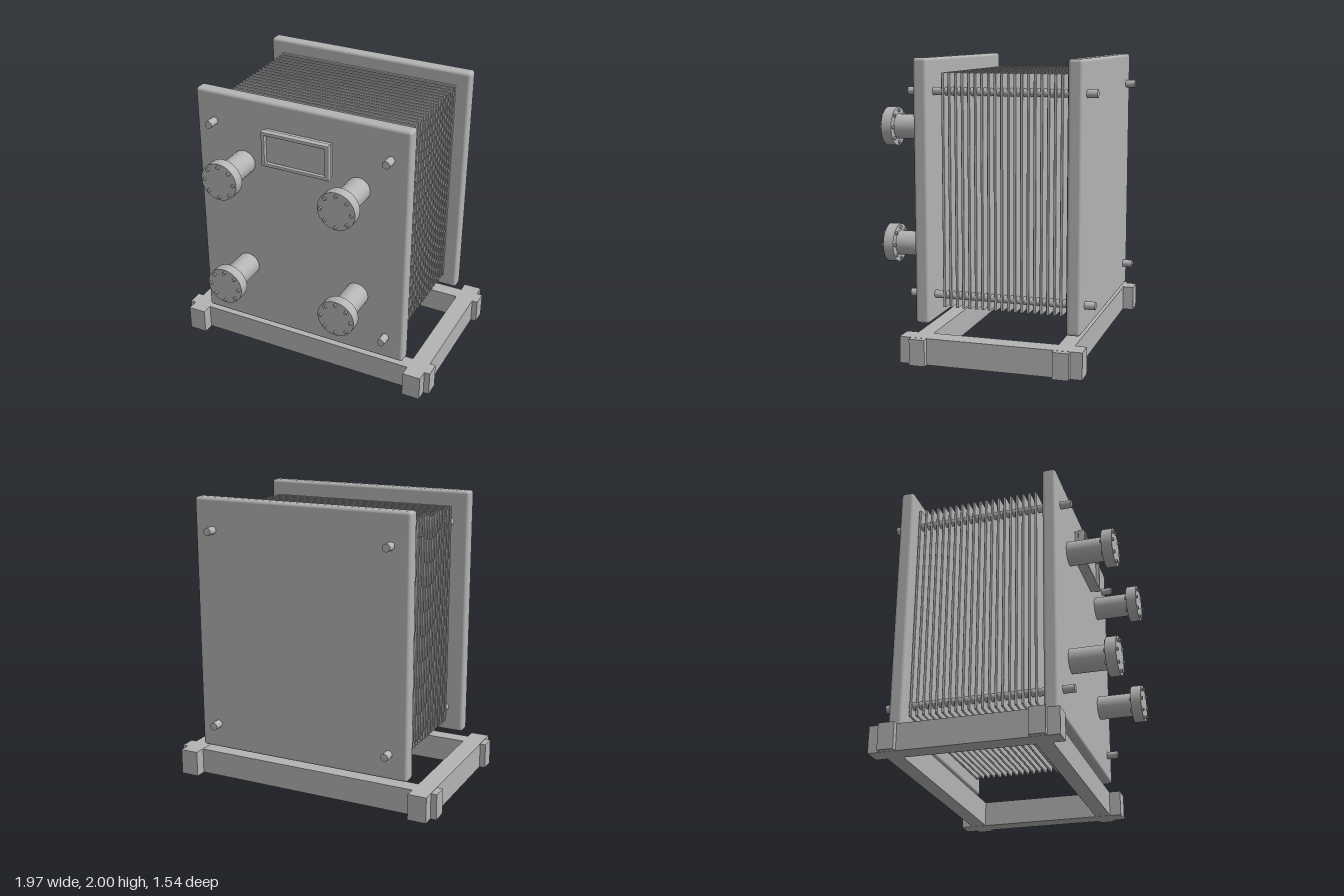
import * as THREE from 'three';
import { RoundedBoxGeometry } from 'three/addons/geometries/RoundedBoxGeometry.js';

export function createModel() {
  const model = new THREE.Group();
  model.name = 'plateHeatExchanger';
  const steel = new THREE.MeshStandardMaterial({ color: 0xb4b4b4 });
  steel.name = 'grey steel';

  const add = (name, geometry, x, y, z, parent = model) => {
    const mesh = new THREE.Mesh(geometry, steel);
    mesh.name = name;
    mesh.position.set(x, y, z);
    parent.add(mesh);
    return mesh;
  };
  const rodZ = (radius, length, sides) =>
    new THREE.CylinderGeometry(radius, radius, length, sides).rotateX(Math.PI / 2);

  // Base frame: two side beams crossed by two longer cross beams
  const sideBeam = new THREE.BoxGeometry(0.13, 0.18, 1.235);
  for (const s of [-1, 1]) add('baseSideBeam', sideBeam, s * 0.877, 0.09, -0.135);
  const crossBeam = new THREE.BoxGeometry(1.966, 0.178, 0.108);
  for (const z of [0.348, -0.62]) add('baseCrossBeam', crossBeam, 0, 0.09, z);

  // Thick end covers
  const cover = new RoundedBoxGeometry(1.57, 1.77, 0.096, 3, 0.022);
  add('frontCover', cover, 0, 1.115, 0.384);
  add('backCover', cover, 0, 1.115, -0.652);

  // Stack of thin exchanger plates
  const plate = new RoundedBoxGeometry(1.37, 1.575, 0.019, 1, 0.005);
  const count = 20;
  for (let i = 0; i < count; i++) {
    add('exchangerPlate', plate, 0, 1.115, 0.262 - (i * 0.852) / (count - 1));
  }

  // Tie rods through the four corners
  const rod = rodZ(0.027, 1.28, 24);
  for (const x of [-0.65, 0.65]) for (const y of [0.408, 1.78]) add('tieRod', rod, x, y, -0.13);

  // Four flanged nozzles, each with a ring of eight bolts
  const pipe = rodZ(0.085, 0.29, 40);
  const flange = rodZ(0.133, 0.074, 48);
  const bolt = rodZ(0.012, 0.098, 12);
  for (const x of [-0.428, 0.428]) {
    for (const y of [0.7, 1.52]) {
      const nozzle = new THREE.Group();
      nozzle.name = 'nozzle';
      nozzle.position.set(x, y, 0);
      model.add(nozzle);
      add('pipe', pipe, 0, 0, 0.565, nozzle);
      add('flange', flange, 0, 0, 0.722, nozzle);
      for (let i = 0; i < 8; i++) {
        const a = (i * Math.PI) / 4;
        add('flangeBolt', bolt, Math.cos(a) * 0.11, Math.sin(a) * 0.11, 0.723, nozzle);
      }
    }
  }

  // Display panel: backing box, open frame and recessed screen
  const rect = (Type, w, h) => new Type([
    new THREE.Vector2(-w, -h), new THREE.Vector2(w, -h),
    new THREE.Vector2(w, h), new THREE.Vector2(-w, h),
  ]);
  const outline = rect(THREE.Shape, 0.242, 0.119);
  outline.holes.push(rect(THREE.Path, 0.228, 0.106));
  const frame = new THREE.ExtrudeGeometry(outline, {
    depth: 0.036, bevelEnabled: true, bevelThickness: 0.006, bevelSize: 0.006, bevelSegments: 2,
  });
  add('displayFrame', frame, -0.003, 1.69, 0.463);
  add('displayBacking', new THREE.BoxGeometry(0.484, 0.238, 0.032), -0.003, 1.69, 0.445);
  add('displayScreen', new THREE.BoxGeometry(0.44, 0.2, 0.02), -0.003, 1.69, 0.47);
  add('displayRearCover', new THREE.BoxGeometry(0.35, 0.13, 0.02), -0.003, 1.685, 0.336);

  return model;
}
